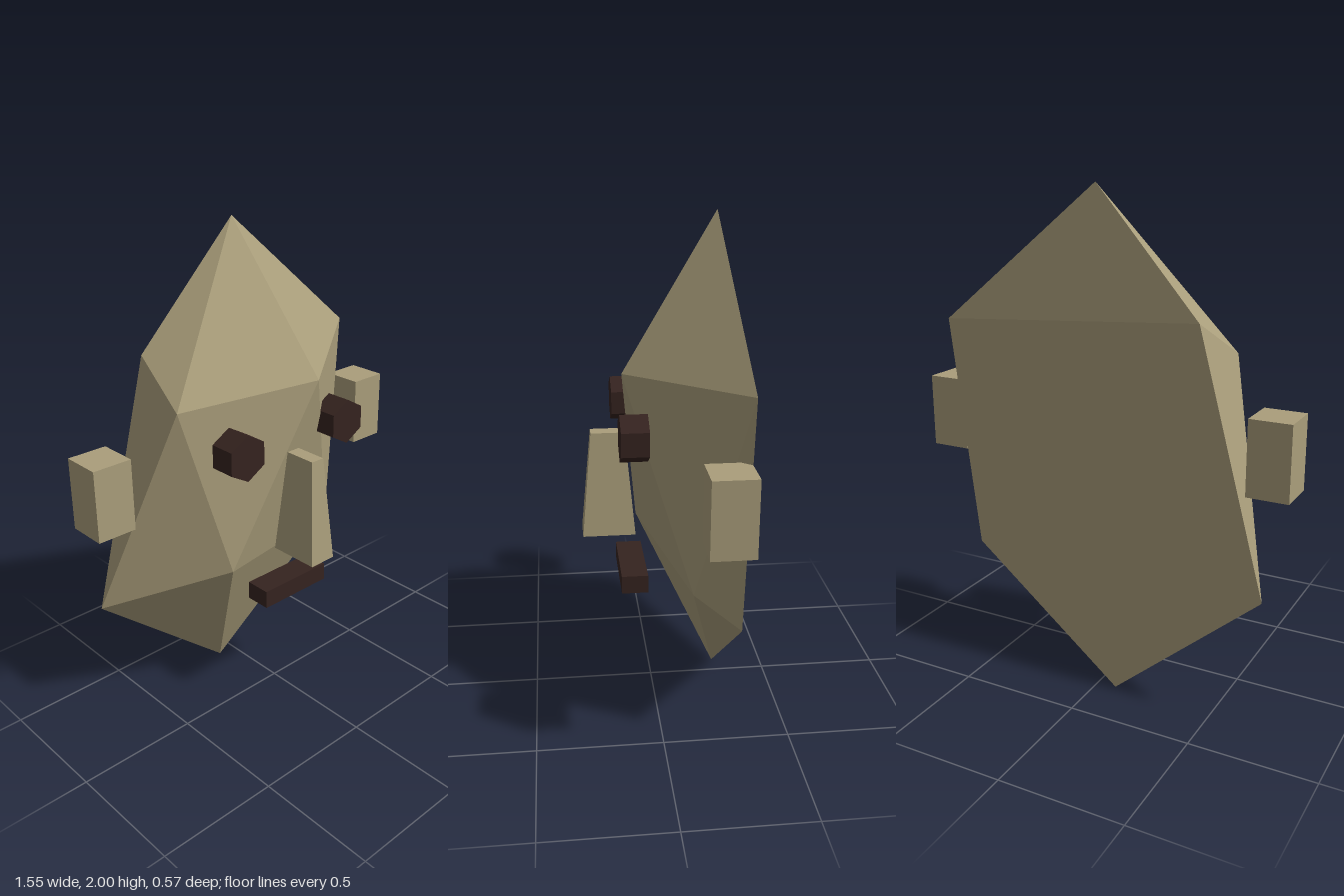
import * as THREE from 'three';
import { ConvexGeometry } from 'three/addons/geometries/ConvexGeometry.js';

export function createModel() {
  const model = new THREE.Group();
  const skin = new THREE.MeshStandardMaterial({ color: 0xaa9e7b, flatShading: true });
  const dark = new THREE.MeshStandardMaterial({ color: 0x35231f, flatShading: true });

  function add(name, geometry, material, x = 0, y = 0, z = 0) {
    const mesh = new THREE.Mesh(geometry, material);
    mesh.name = name;
    mesh.position.set(x, y, z);
    model.add(mesh);
    return mesh;
  }

  // Faceted, lopsided head with a flat back
  const back = -0.285;
  const corners = [
    [0.01, 2.0, -0.25],                           // crown
    [-0.465, 1.38, -0.02], [0.12, 1.405, 0.125],  // brow
    [-0.265, 0.66, 0.04], [0.43, 0.61, -0.12],    // cheeks
    [-0.42, 1.53, back], [0.67, 1.46, back],      // back outline
    [0.56, 0.52, back], [-0.08, 0, back], [-0.69, 0.52, back],
  ].map((p) => new THREE.Vector3(...p));
  add('head', new ConvexGeometry(corners), skin);

  // Eyes and ears, mirrored
  const eyeGeometry = new THREE.CylinderGeometry(0.094, 0.094, 0.107, 6).rotateX(Math.PI / 2);
  const earGeometry = new THREE.BoxGeometry(0.164, 0.292, 0.165);
  for (const [side, s] of [['left', 1], ['right', -1]]) {
    add(side + 'Eye', eyeGeometry, dark, s * 0.27, 1.196, 0.092);
    add(side + 'Ear', earGeometry, skin, s * 0.692, 1.067, -0.202);
  }

  // Nose: a box narrowed towards the top
  const nose = new THREE.BoxGeometry(0.12, 0.435, 0.215);
  const pos = nose.attributes.position;
  for (let i = 0; i < pos.count; i++) {
    if (pos.getY(i) > 0) {
      pos.setX(i, pos.getX(i) * 0.5);
      pos.setZ(i, pos.getZ(i) * 0.63);
    }
  }
  nose.computeVertexNormals();
  add('nose', nose, skin, 0, 0.922, 0.176);

  add('mouth', new THREE.BoxGeometry(0.336, 0.076, 0.108), dark, -0.002, 0.529, 0.081);

  return model;
}
